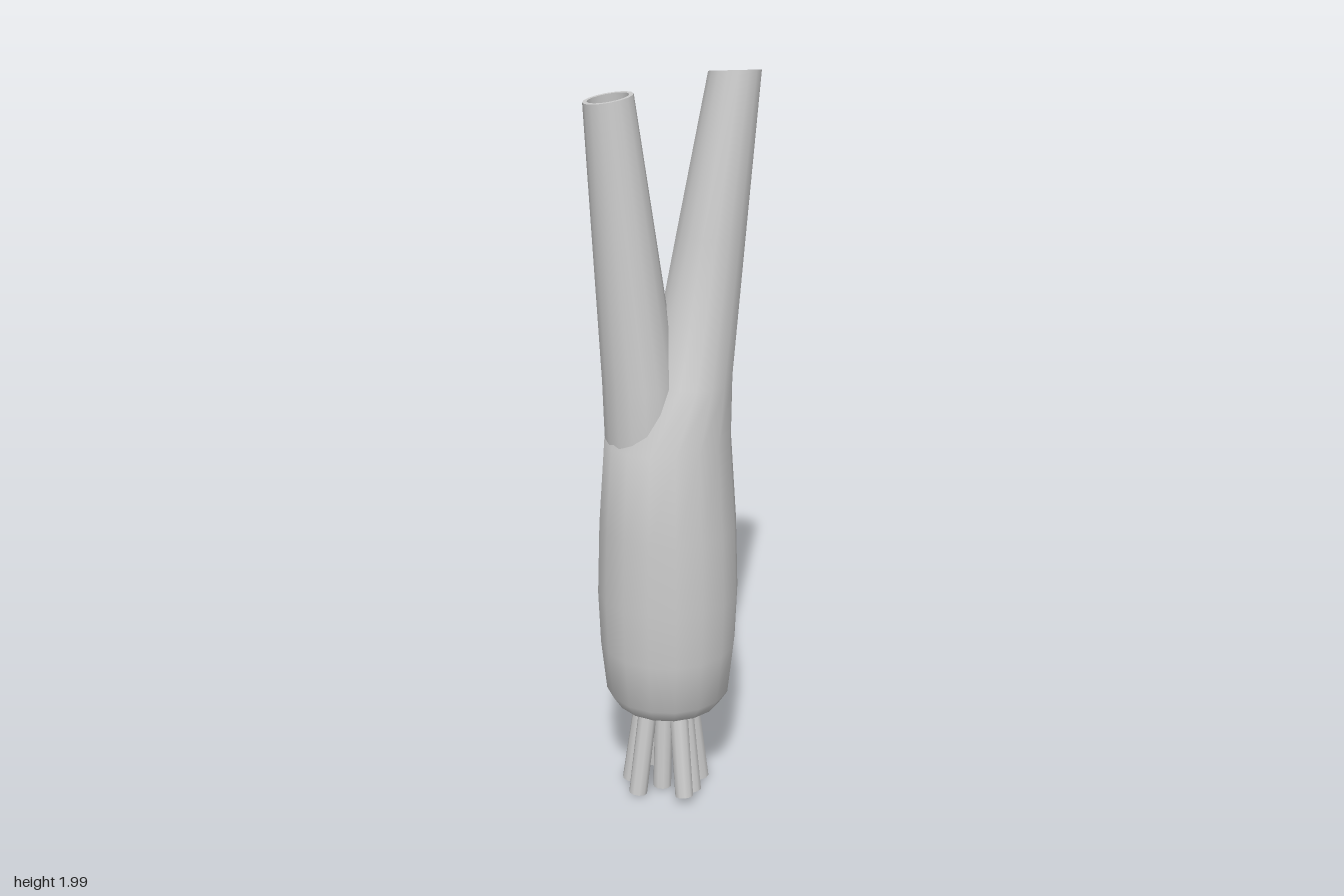
import * as THREE from 'three';
import { toCreasedNormals } from 'three/addons/utils/BufferGeometryUtils.js';

const SIDES = 16;

// Skin over rings [x, y, z, radiusX, radiusZ, slopeX, slopeZ], capped at both ends
function loft(rings) {
  const pos = [], index = [];
  for (const [x, y, z, rx, rz, sx = 0, sz = 0] of rings) {
    for (let i = 0; i < SIDES; i++) {
      const a = (i / SIDES) * Math.PI * 2;
      const dx = Math.sin(a) * rx, dz = Math.cos(a) * rz;
      pos.push(x + dx, y + dx * sx + dz * sz, z + dz);
    }
  }
  for (let r = 0; r < rings.length - 1; r++) {
    for (let i = 0; i < SIDES; i++) {
      const a = r * SIDES + i, b = r * SIDES + (i + 1) % SIDES;
      index.push(a, b, b + SIDES, a, b + SIDES, a + SIDES);
    }
  }
  // end caps: underside of the first ring, floor of the last
  const last = (rings.length - 1) * SIDES;
  for (let i = 1; i < SIDES - 1; i++) {
    index.push(0, i + 1, i, last, last + i, last + i + 1);
  }
  const g = new THREE.BufferGeometry();
  g.setAttribute('position', new THREE.Float32BufferAttribute(pos, 3));
  g.setIndex(index);
  return toCreasedNormals(g, 0.9);
}

// Turn the outer rings over the rim and back down inside, from ring number `floor`
function hollow(rings, floor, wall = 0.011) {
  const inner = rings.slice(floor).reverse()
    .map(([x, y, z, rx, rz, ...s]) => [x, y, z, rx - wall, rz - wall, ...s]);
  return [...rings, ...inner];
}

export function createModel() {
  const model = new THREE.Group();
  const material = new THREE.MeshStandardMaterial({ color: 0xcccccc });
  const add = (name, geometry, parent = model) => {
    const mesh = new THREE.Mesh(geometry, material);
    mesh.name = name;
    parent.add(mesh);
    return mesh;
  };

  // Swollen stem flowing into the taller leaf tube
  const cx = -0.015;
  const stem = [[0.26, 0.11], [0.272, 0.142], [0.31, 0.167], [0.45, 0.182], [0.6, 0.188],
    [0.8, 0.182], [1.04, 0.166]].map(([y, r]) => [cx, y, 0, r, r]);
  stem.push(
    [0.045, 1.2, -0.006, 0.109, 0.122],
    [0.099, 1.58, -0.025, 0.089, 0.096, 0, 0.1],
    [0.158, 1.985, -0.047, 0.067, 0.066, 0, 0.22],
  );
  add('stemAndTallLeaf', loft(hollow(stem, 7)));

  // Shorter leaf tube, emerging from the side of the stem
  const shortLeaf = [
    [-0.075, 0.95, 0, 0.1, 0.115],
    [-0.08, 1.05, 0, 0.1, 0.122],
    [-0.087, 1.2, 0.002, 0.098, 0.116],
    [-0.163, 1.94, 0.022, 0.063, 0.053, 0.16, 0],
  ];
  add('shortLeaf', loft(hollow(shortLeaf, 2)));

  // Splayed roots: [x, z] of each tip
  const roots = new THREE.Group();
  roots.name = 'roots';
  model.add(roots);
  const tips = [[0.075, -0.01], [0.04, -0.08], [-0.045, -0.105], [0.045, 0.06],
    [-0.035, 0.03], [-0.115, -0.02], [0.015, 0.125], [-0.105, 0.06]];
  const up = new THREE.Vector3(0, 1, 0);
  tips.forEach(([x, z], i) => {
    const tip = new THREE.Vector3(x, i === 6 ? 0.03 : 0.01, z);
    const top = new THREE.Vector3(cx + (x - cx) * 0.6, 0.3, z * 0.6);
    const dir = top.clone().sub(tip);
    const root = add('root', new THREE.CylinderGeometry(0.025, 0.025, dir.length(), 10), roots);
    root.position.copy(tip).add(top).multiplyScalar(0.5);
    root.quaternion.setFromUnitVectors(up, dir.normalize());
  });

  return model;
}
